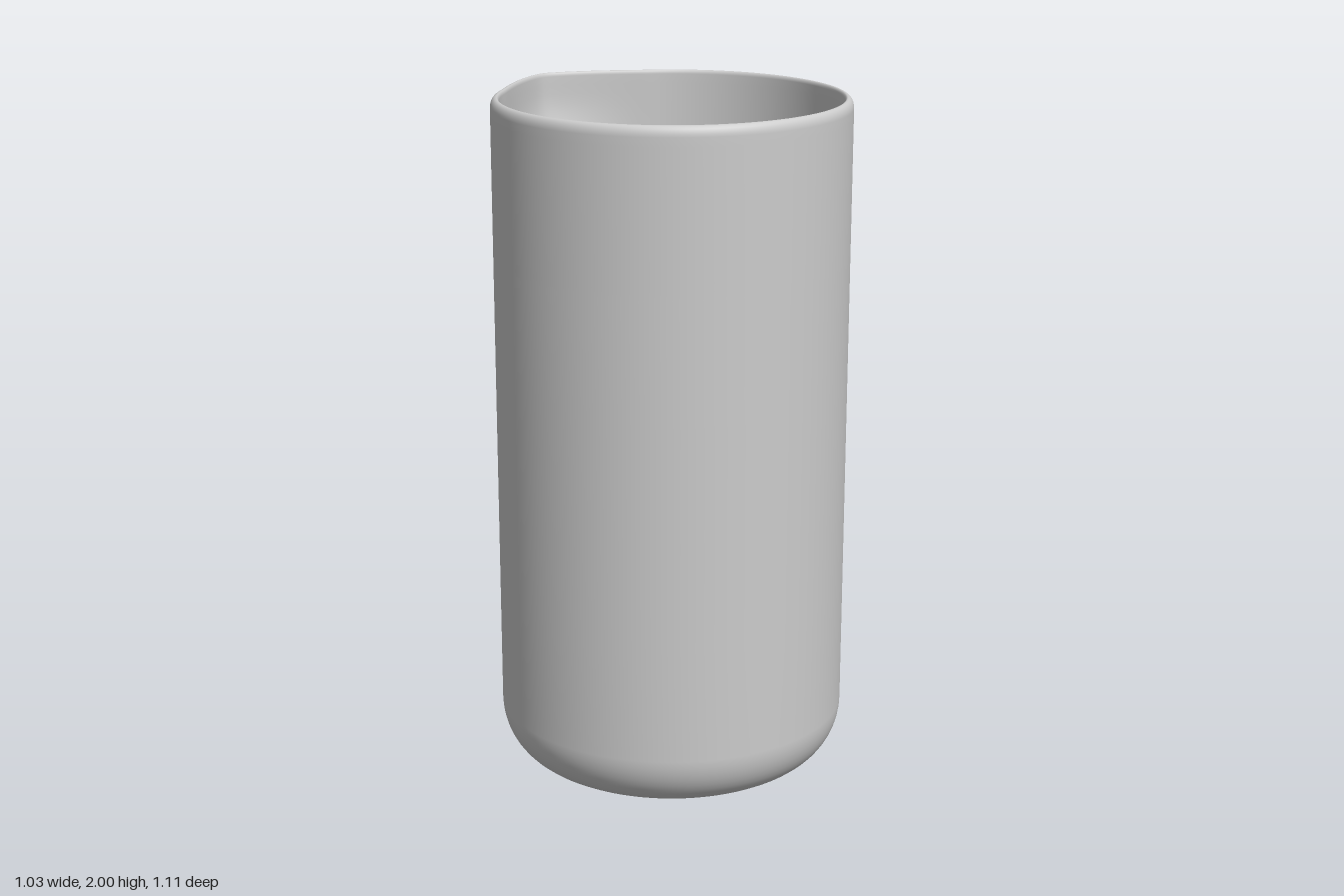
import * as THREE from 'three';
import { mergeVertices } from 'three/addons/utils/BufferGeometryUtils.js';

const R = 0.516, WALL = 0.025, H = 2, AXIS_Z = 0.036;
const SPOUT = { reach: 0.074, halfAngle: 0.62, bottom: 1.62, top: 1.93 };

// points along an elliptical arc
function arc(cx, cy, rx, ry, from, to, steps) {
  const pts = [];
  for (let i = 0; i <= steps; i++) {
    const a = from + (to - from) * i / steps;
    pts.push(new THREE.Vector2(cx + rx * Math.cos(a), cy + ry * Math.sin(a)));
  }
  return pts;
}

// points up or down a straight wall, both ends left out
function wall(r, y0, y1, steps) {
  const pts = [];
  for (let i = 1; i < steps; i++) pts.push(new THREE.Vector2(r, y0 + (y1 - y0) * i / steps));
  return pts;
}

// outward push of the pouring lip at a given angle from the back and height
function lipPush(angle, y) {
  const t = Math.sqrt(angle * angle + 0.0016) / SPOUT.halfAngle;
  const around = Math.pow(Math.max(0, 1 - t), 1.6) / Math.pow(1 - 0.04 / SPOUT.halfAngle, 1.6);
  return SPOUT.reach * around * THREE.MathUtils.smoothstep(y, SPOUT.bottom, SPOUT.top);
}

export function createModel() {
  const group = new THREE.Group();
  group.name = 'beaker';
  const PI = Math.PI, inner = R - WALL;

  // closed wall section: base, outside, rounded rim, inside, floor
  const profile = [
    new THREE.Vector2(0, 0),
    new THREE.Vector2(0.36, 0),
    ...arc(R - 0.14, 0.17, 0.14, 0.17, -PI / 2, 0, 12),
    ...wall(R, 0.17, 1.5, 4),
    ...wall(R, 1.5, H - 0.03, 18),
    ...arc(R - 0.018, H - 0.03, 0.018, 0.03, 0, PI / 2, 6),
    ...arc(inner + 0.007, H - 0.012, 0.007, 0.012, PI / 2, PI, 4),
    ...wall(inner, H - 0.012, 1.5, 18),
    ...wall(inner, 1.5, 0.18, 4),
    ...arc(inner - 0.125, 0.18, 0.125, 0.155, 0, -PI / 2, 12),
    new THREE.Vector2(0.35, 0.025),
    new THREE.Vector2(0, 0.025),
  ];

  let geo = new THREE.LatheGeometry(profile, 180);
  geo.deleteAttribute('uv');
  geo.deleteAttribute('normal');
  geo = mergeVertices(geo, 1e-5);

  // pull the pouring lip out at the back of the rim
  const pos = geo.attributes.position;
  for (let i = 0; i < pos.count; i++) {
    const x = pos.getX(i), y = pos.getY(i), z = pos.getZ(i);
    const r = Math.hypot(x, z);
    if (r < 0.4 || y < SPOUT.bottom) continue;
    const k = 1 + lipPush(Math.abs(Math.atan2(x, -z)), y) / r;
    pos.setXYZ(i, x * k, y, z * k);
  }
  geo.computeVertexNormals();

  const vessel = new THREE.Mesh(geo, new THREE.MeshStandardMaterial({ color: 0xcccccc }));
  vessel.name = 'vesselWithPouringLip';
  vessel.position.z = AXIS_Z;
  group.add(vessel);
  return group;
}
